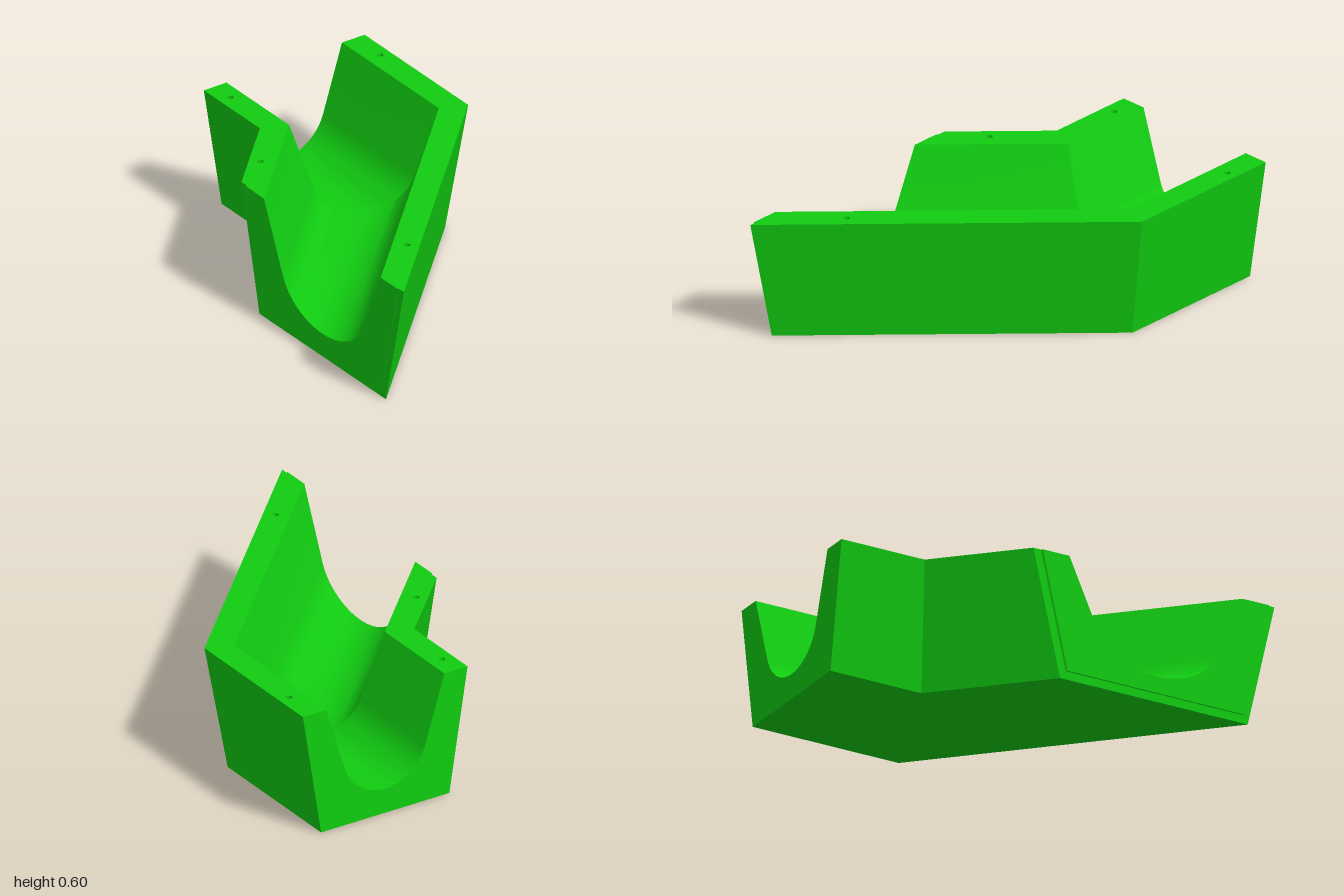
import * as THREE from 'three';
import { toCreasedNormals } from 'three/addons/utils/BufferGeometryUtils.js';

const H = 0.6;            // height
const ZC = -0.178;        // centre line of the straight leg
const XM = -0.397;        // centre of the mitre
const ZF = 0.605;         // front end plane
const XF = XM + ZF - ZC;  // centre of the front end
const LIP = 0.007;        // thickness of the raised front lip
const HOLE_R = 0.015, HOLE_DEPTH = 0.1;
const V = (x, y) => new THREE.Vector2(x, y);

// Cross-section of the channel, (offset from centre line, height)
const outer = [V(-0.434, H), V(-0.338, 0), V(0.338, 0), V(0.434, H)];
const channel = [V(0.312, H)];
const R = 0.22, TILT = 0.297, STEPS = 28;
for (let i = 0; i <= STEPS; i++) {
  const a = -TILT - (Math.PI - 2 * TILT) * i / STEPS;
  channel.push(V(R * Math.cos(a), 0.12 + R + R * Math.sin(a)));
}
channel.push(V(-0.312, H));

// Stations along the 45 degree bend: straight end, mitre, front end
const stations = [
  (d) => [-1, ZC + d],
  (d) => [XM - Math.tan(Math.PI / 8) * d, ZC + d],
  (d) => [XF - Math.SQRT2 * d, ZF],
];

// Sweep an open profile through the stations
function sweep(profile) {
  const pos = [];
  const at = (s, p) => {
    const [x, z] = stations[s](p.x);
    return [x, p.y, z];
  };
  for (let s = 0; s < 2; s++) {
    for (let i = 0; i < profile.length - 1; i++) {
      const a = at(s, profile[i]), b = at(s, profile[i + 1]);
      const c = at(s + 1, profile[i + 1]), d = at(s + 1, profile[i]);
      pos.push(...a, ...d, ...c, ...a, ...c, ...b);
    }
  }
  const g = new THREE.BufferGeometry();
  g.setAttribute('position', new THREE.Float32BufferAttribute(pos, 3));
  return toCreasedNormals(g, 0.45);
}

// Flat rim between two offsets, pierced by screw holes
function rim(d0, d1, holes) {
  const edge = (d) => stations.map((s) => {
    const [x, z] = s(d);
    return V(x, -z);
  });
  const shape = new THREE.Shape([...edge(d0), ...edge(d1).reverse()]);
  for (const [x, z] of holes) {
    shape.holes.push(new THREE.Path().absarc(x, -z, HOLE_R, 0, Math.PI * 2, true));
  }
  return new THREE.ShapeGeometry(shape, 10).rotateX(-Math.PI / 2).translate(0, H, 0);
}

export function createModel() {
  const group = new THREE.Group();
  const color = 0x11cc11;
  const mat = new THREE.MeshStandardMaterial({ color });
  const inside = new THREE.MeshStandardMaterial({ color, side: THREE.DoubleSide });
  const add = (name, geo, material = mat) => {
    const mesh = new THREE.Mesh(geo, material);
    mesh.name = name;
    group.add(mesh);
    return mesh;
  };

  // Sloped outer walls with the floor, and the rounded channel
  add('outerShell', sweep(outer));
  add('channel', sweep(channel));

  // End faces
  const section = [...outer, ...channel];
  add('straightEnd', new THREE.ShapeGeometry(new THREE.Shape(section))
    .rotateY(-Math.PI / 2).translate(-1, 0, ZC));
  const toFront = (p) => V(XF - Math.SQRT2 * p.x, p.y);
  add('angledEnd', new THREE.ShapeGeometry(new THREE.Shape(section.map(toFront)))
    .translate(0, 0, ZF));

  // Thin raised lip on the angled end, following the leg's direction
  const lipOuter = [V(-0.407, H), V(-0.318, 0.04), V(0.318, 0.04), V(0.407, H)];
  const lip = new THREE.ExtrudeGeometry(
    new THREE.Shape([...lipOuter, ...channel].map(toFront)),
    { depth: LIP, bevelEnabled: false });
  const p = lip.attributes.position;
  for (let i = 0; i < p.count; i++) p.setX(i, p.getX(i) + p.getZ(i));
  lip.translate(0, 0, ZF);
  lip.computeVertexNormals();
  add('endLip', toCreasedNormals(lip, 0.45));

  // Top rims with blind screw holes
  const backHoles = [[-0.81, -0.56], [0.66, 0.345]];
  const frontHoles = [[-0.88, 0.2], [-0.33, 0.43]];
  add('backRim', rim(-0.434, -0.312, backHoles));
  add('frontRim', rim(0.312, 0.434, frontHoles));
  for (const [x, z] of [...backHoles, ...frontHoles]) {
    add('screwHoleWall', new THREE.CylinderGeometry(HOLE_R, HOLE_R, HOLE_DEPTH, 20, 1, true), inside)
      .position.set(x, H - HOLE_DEPTH / 2, z);
    add('screwHoleFloor', new THREE.CircleGeometry(HOLE_R, 20).rotateX(-Math.PI / 2))
      .position.set(x, H - HOLE_DEPTH, z);
  }
  return group;
}
